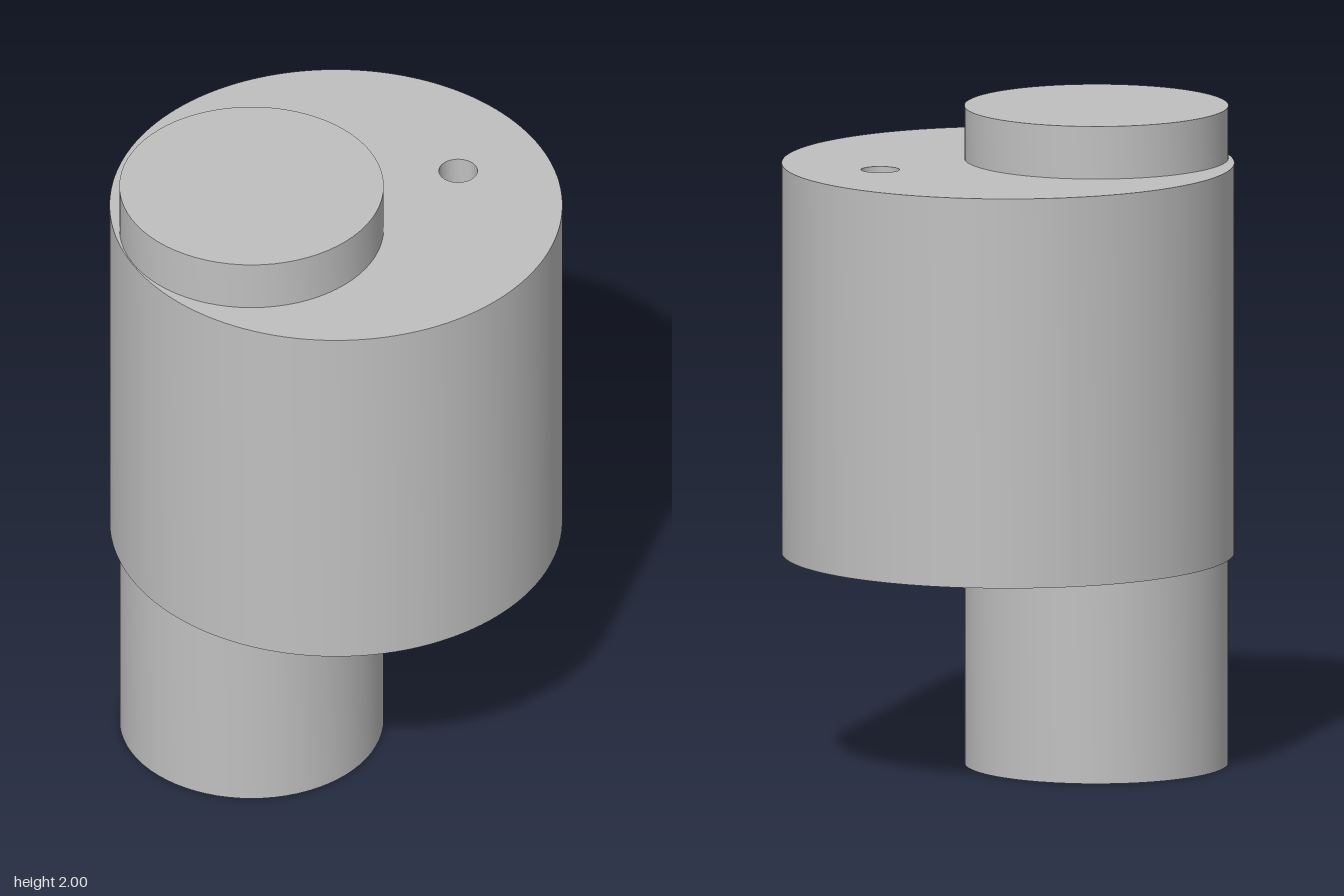
import * as THREE from 'three';
import { toCreasedNormals } from 'three/addons/utils/BufferGeometryUtils.js';

const BODY_R = 0.68, BODY_BOTTOM = 0.655, BODY_TOP = 1.84;
const PIN_R = 0.397, PIN_X = -0.28;
const HOLE_R = 0.058, HOLE_X = 0.405;

export function createModel() {
  const model = new THREE.Group();
  model.name = 'eccentricBushing';
  const steel = new THREE.MeshStandardMaterial({ color: 0xc0c0c0 });
  steel.name = 'steel grey';

  const add = (name, geometry) => {
    const mesh = new THREE.Mesh(toCreasedNormals(geometry, 0.6), steel);
    mesh.name = name;
    model.add(mesh);
    return mesh;
  };

  // Large cylindrical body with a small through hole
  const disc = new THREE.Shape().absarc(0, 0, BODY_R, 0, Math.PI * 2);
  disc.holes.push(new THREE.Path().absarc(HOLE_X, 0, HOLE_R, 0, Math.PI * 2, true));
  const body = new THREE.ExtrudeGeometry(disc, {
    depth: BODY_TOP - BODY_BOTTOM, bevelEnabled: false, curveSegments: 72,
  });
  body.rotateX(-Math.PI / 2);
  add('body', body).position.y = BODY_BOTTOM;

  // Off-centre pins, open where they meet the body
  const addPin = (name, profile) => {
    const points = profile.map(([r, y]) => new THREE.Vector2(r, y));
    add(name, new THREE.LatheGeometry(points, 72)).position.x = PIN_X;
  };
  addPin('lowerPin', [[0, 0], [PIN_R, 0], [PIN_R, BODY_BOTTOM]]);
  addPin('upperPin', [[PIN_R, BODY_TOP], [PIN_R, 2], [0, 2]]);

  return model;
}
